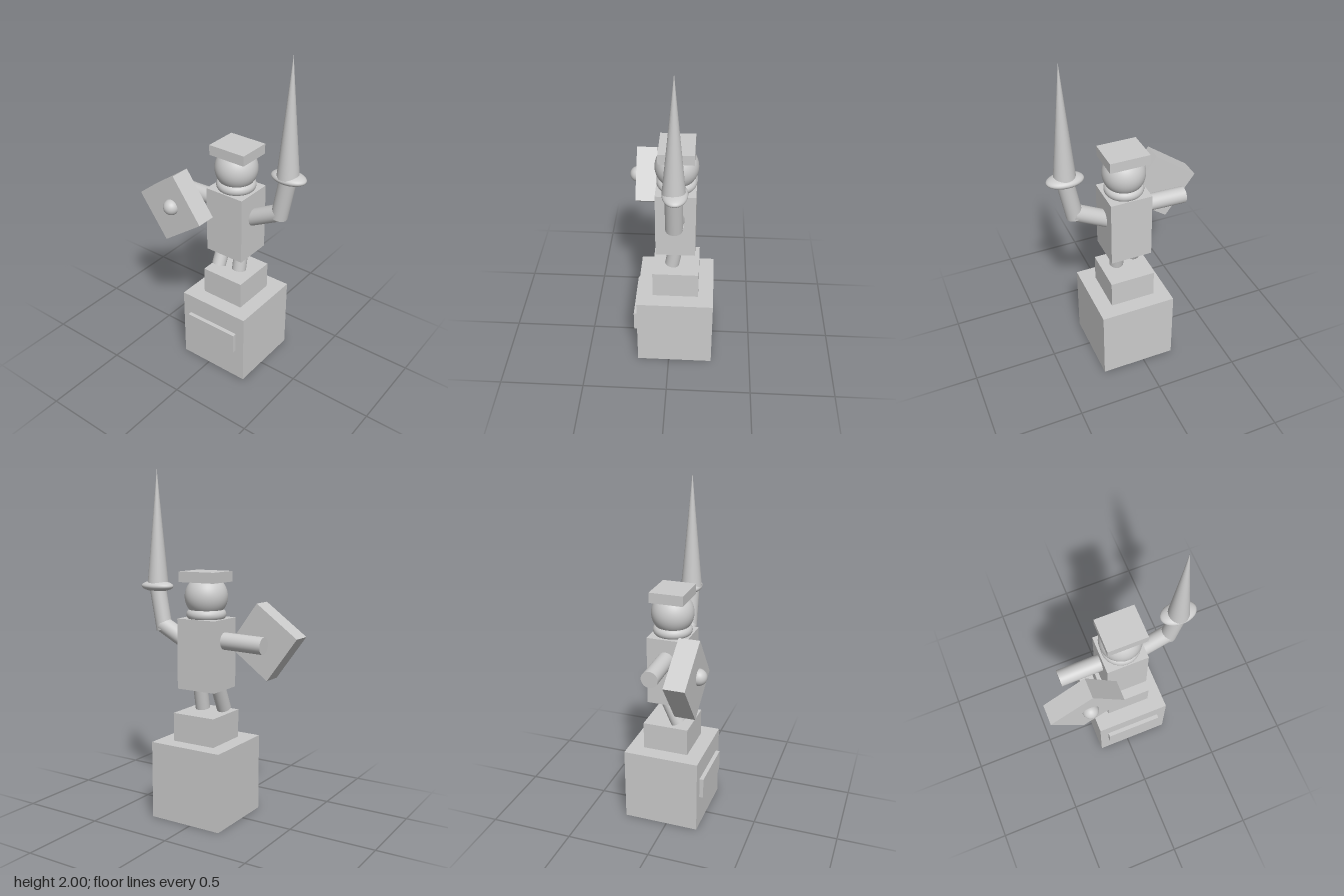
import * as THREE from 'three';

const V = (x, y, z) => new THREE.Vector3(x, y, z);

export function createModel() {
  const model = new THREE.Group();
  const material = new THREE.MeshStandardMaterial({ color: 0xcccccc });

  function add(name, geometry, position) {
    const mesh = new THREE.Mesh(geometry, material);
    mesh.name = name;
    mesh.position.copy(position);
    model.add(mesh);
    return mesh;
  }

  // Box given by its lowest and highest corners
  function box(name, min, max) {
    const size = max.clone().sub(min);
    return add(name, new THREE.BoxGeometry(size.x, size.y, size.z), min.clone().add(max).multiplyScalar(0.5));
  }

  // Cylinder running between two points
  function limb(name, from, to, radius) {
    const axis = to.clone().sub(from);
    const mesh = add(name, new THREE.CylinderGeometry(radius, radius, axis.length(), 40),
      from.clone().add(to).multiplyScalar(0.5));
    mesh.quaternion.setFromUnitVectors(V(0, 1, 0), axis.normalize());
    return mesh;
  }

  const ball = (name, radius, position) => add(name, new THREE.SphereGeometry(radius, 40, 28), position);

  // Pedestal
  box('pedestalBase', V(-0.19, 0, -0.262), V(0.26, 0.45, 0.19));
  box('plaque', V(-0.137, 0.2, 0.18), V(0.204, 0.325, 0.214));
  box('pedestalTop', V(-0.1, 0.45, -0.172), V(0.17, 0.615, 0.1));

  // Legs, the right one stepping forward
  limb('rightLeg', V(-0.047, 0.82, -0.06), V(-0.047, 0.632, 0.025), 0.042);
  limb('leftLeg', V(0.075, 0.82, -0.047), V(0.075, 0.627, -0.012), 0.042);

  // Body and head
  box('torso', V(-0.09, 0.755, -0.148), V(0.157, 1.16, 0.08));
  const collar = add('collar', new THREE.TorusGeometry(0.082, 0.032, 20, 48), V(0.034, 1.182, -0.035));
  collar.rotation.x = Math.PI / 2;
  ball('head', 0.123, V(0.034, 1.283, -0.035));
  box('cap', V(-0.079, 1.365, -0.136), V(0.154, 1.425, 0.063));

  // Arms
  limb('rightArm', V(0, 1.04, -0.037), V(-0.34, 1.03, -0.037), 0.049);
  limb('leftUpperArm', V(0.06, 0.957, -0.037), V(0.335, 1.1, -0.037), 0.049);
  limb('leftForearm', V(0.328, 1.072, -0.036), V(0.376, 1.325, -0.036), 0.048);

  // Sword
  ball('swordGuard', 1, V(0.374, 1.327, -0.042)).scale.set(0.105, 0.032, 0.068);
  add('swordBlade', new THREE.ConeGeometry(0.062, 0.665, 40), V(0.373, 1.6675, -0.036));

  // Tilted shield with a round boss
  const shield = add('shield', new THREE.BoxGeometry(0.314, 0.314, 0.12), V(-0.258, 1.026, 0.149));
  shield.rotation.z = THREE.MathUtils.degToRad(36);
  ball('shieldBoss', 0.047, V(-0.244, 1.043, 0.21));

  return model;
}
